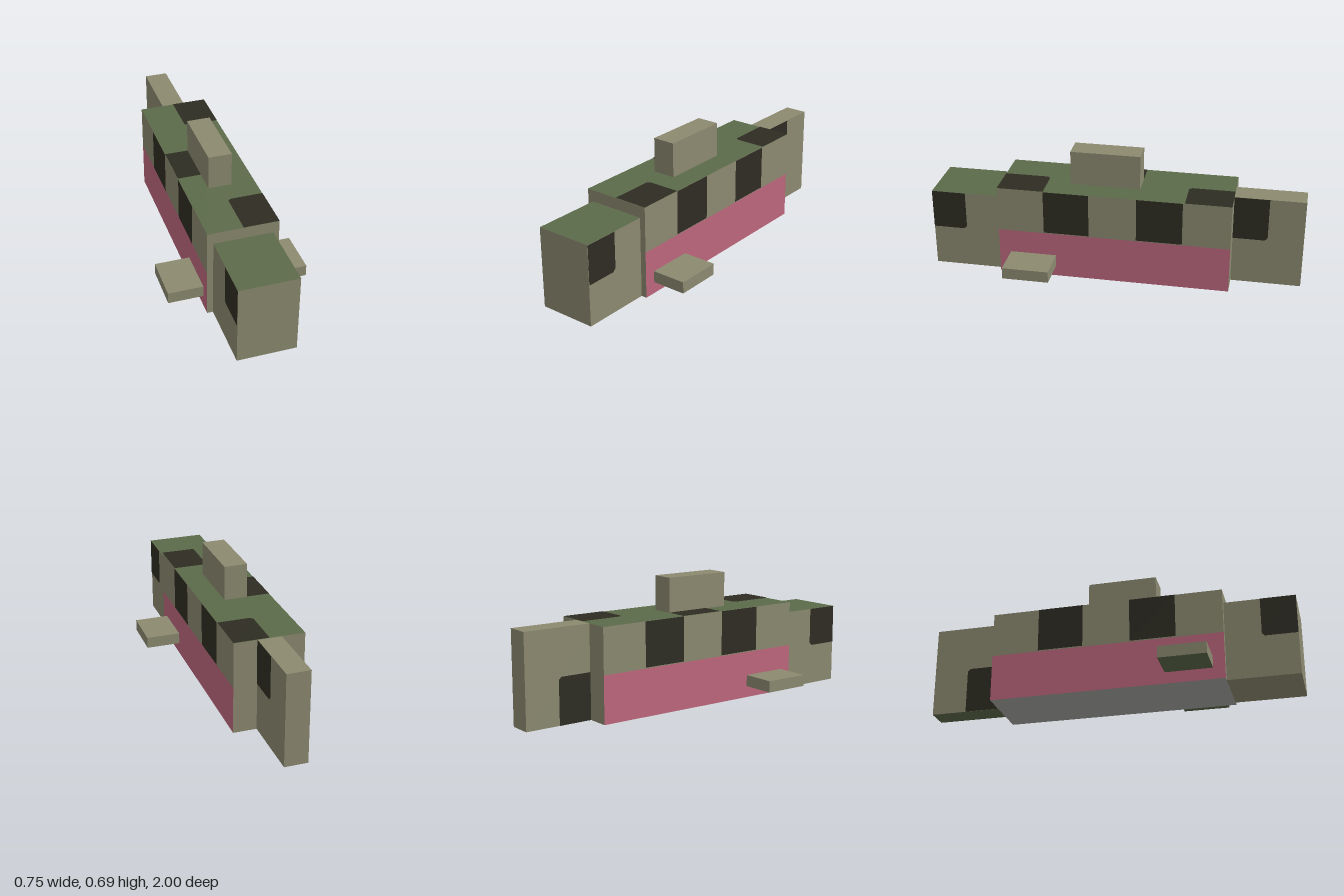
import * as THREE from 'three';

const paint = (name, color) => {
  const m = new THREE.MeshStandardMaterial({ color });
  m.name = name;
  return m;
};

export function createModel() {
  const olive = paint('olive', 0x8c8a70);
  const green = paint('green', 0x5c6a4a);
  const black = paint('black', 0x2e2c22);
  const pink = paint('pink', 0xbe677d);
  const grey = paint('grey', 0xa6a6a2);
  const fish = new THREE.Group();
  fish.name = 'fish';

  // Box between two corners; faces are painted olive unless overridden
  function box(name, [x0, y0, z0], [x1, y1, z1], { sides = olive, top = olive, bottom = olive } = {}) {
    const geo = new THREE.BoxGeometry(x1 - x0, y1 - y0, z1 - z0);
    geo.translate((x0 + x1) / 2, (y0 + y1) / 2, (z0 + z1) / 2);
    const mesh = new THREE.Mesh(geo, [sides, sides, top, bottom, olive, olive]);
    mesh.name = name;
    fish.add(mesh);
  }

  // Flat rectangle from (u0,v0) to (u1,v1); the corner (u0,v0) is clipped by cut
  function patchShape(u0, v0, u1, v1, cut) {
    const su = Math.sign(u1 - u0) * cut, sv = Math.sign(v1 - v0) * cut;
    const pts = [[u0 + su, v0], [u1, v0], [u1, v1], [u0, v1]];
    if (cut) pts.push([u0, v0 + sv]);
    return new THREE.ShapeGeometry(new THREE.Shape(pts.map(([u, v]) => new THREE.Vector2(u, v))));
  }

  function addPatch(name, geo) {
    const mesh = new THREE.Mesh(geo, black);
    mesh.name = name;
    fish.add(mesh);
  }

  // Patch on a face turned to side s (+1 left, -1 right) at distance x
  function sidePatch(name, s, x, z0, y0, z1, y1, cut = 0) {
    const geo = patchShape(-s * z0, y0, -s * z1, y1, cut);
    geo.rotateY(s * Math.PI / 2).translate(s * (x + 0.002), 0, 0);
    addPatch(name, geo);
  }

  // Patch on the back of the body
  function topPatch(name, x0, z0, x1, z1, cut = 0) {
    const geo = patchShape(x0, -z0, x1, -z1, cut);
    geo.rotateX(-Math.PI / 2).translate(0, 0.502, 0);
    addPatch(name, geo);
  }

  // Body, head, tail and fins
  box('belly', [-0.1875, 0, -0.625], [0.1875, 0.255, 0.625], { sides: pink, bottom: grey });
  box('upperBody', [-0.1875, 0.255, -0.625], [0.1875, 0.5, 0.625], { top: green });
  box('head', [-0.156, 0, 0.625], [0.156, 0.4375, 1], { top: green });
  box('tailFin', [-0.0625, 0, -1], [0.0625, 0.5, -0.625], { bottom: green });
  box('dorsalFin', [-0.0625, 0.5, -0.125], [0.0625, 0.6875, 0.25]);
  box('leftFin', [0.1875, 0.0625, 0.3125], [0.375, 0.125, 0.5625], { bottom: green });
  box('rightFin', [-0.375, 0.0625, 0.3125], [-0.1875, 0.125, 0.5625], { bottom: green });

  // Dark markings on both flanks and beside the head
  for (const s of [1, -1]) {
    sidePatch('frontStripe', s, 0.1875, 0.13, 0.26, 0.375, 0.5);
    sidePatch('rearStripe', s, 0.1875, -0.37, 0.26, -0.125, 0.5);
    sidePatch('eyePatch', s, 0.156, 0.815, 0.225, 1, 0.4375, 0.015);
  }
  sidePatch('leftTailPatch', 1, 0.0625, -0.81, 0.26, -0.625, 0.5, 0.015);
  sidePatch('rightTailPatch', -1, 0.0625, -0.81, 0.25, -0.625, 0, 0.015);

  // Dark markings along the back
  topPatch('rearBackPatch', 0, -0.38, 0.1875, -0.625, 0.015);
  topPatch('middleBackPatch', 0, 0.12, -0.1875, -0.125);
  topPatch('frontBackPatch', 0, 0.375, 0.1875, 0.625, 0.015);
  return fish;
}
